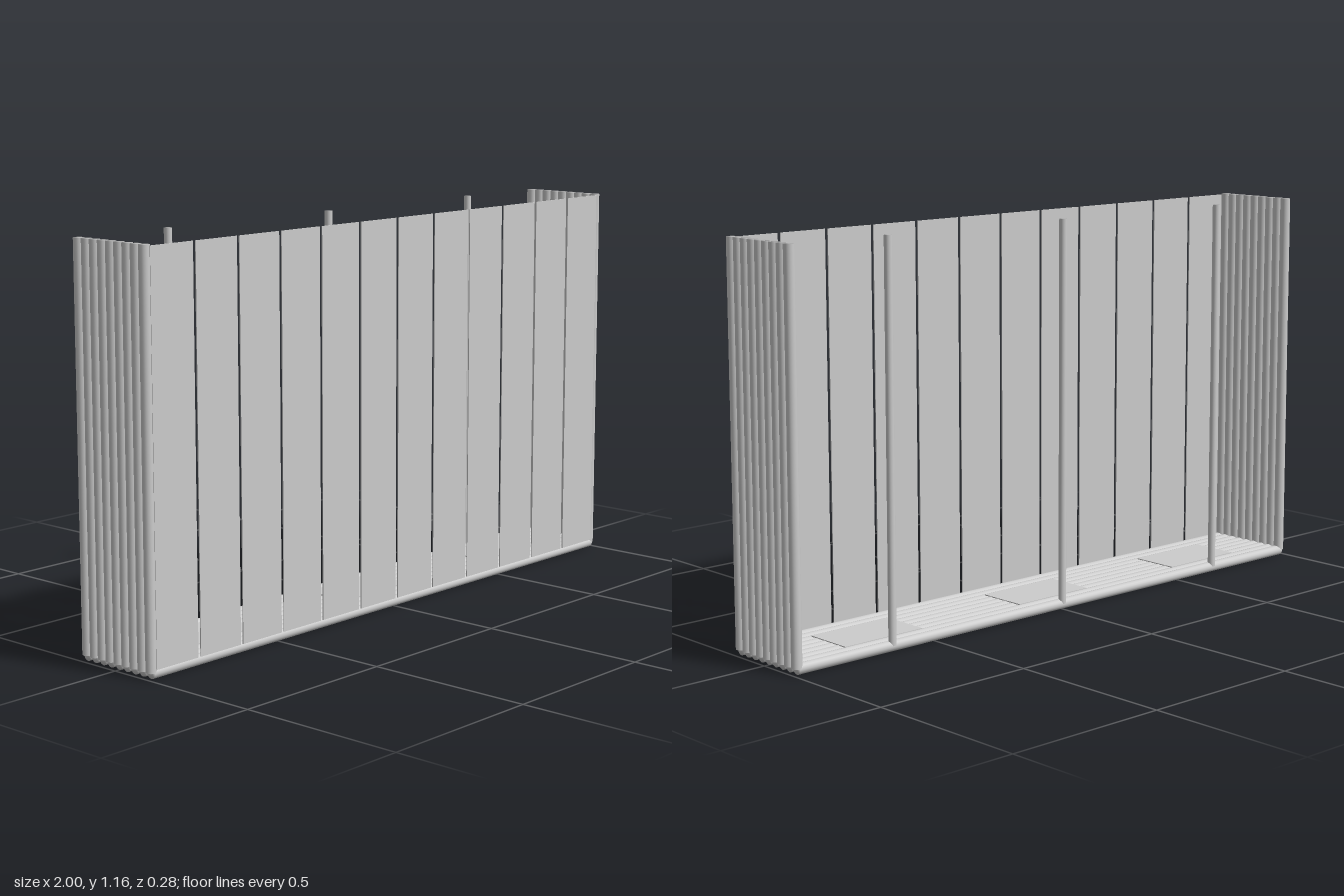
import * as THREE from 'three';
import { mergeVertices } from 'three/addons/utils/BufferGeometryUtils.js';

const LOGS = 9, R = 0.0155, PITCH = 0.0315;
const TOP = 1.163, SIDE_X = 0.9845;

// Round bar with normals blended over its end caps
function barGeometry(radius, length) {
  let g = new THREE.CylinderGeometry(radius, radius, length, 16);
  g.deleteAttribute('uv');
  g.deleteAttribute('normal');
  g = mergeVertices(g);
  g.computeVertexNormals();
  return g;
}

export function createModel() {
  const model = new THREE.Group();
  const grey = new THREE.MeshStandardMaterial({ color: 0xcccccc });
  grey.name = 'light grey';

  const add = (name, geometry, x, y, z) => {
    const mesh = new THREE.Mesh(geometry, grey);
    mesh.name = name;
    mesh.position.set(x, y, z);
    model.add(mesh);
    return mesh;
  };

  // Floor bars and the two side walls of upright bars
  const base = 0.018;
  const floorBar = barGeometry(R, SIDE_X * 2).rotateZ(Math.PI / 2);
  const wallBar = barGeometry(R, TOP - base);
  for (let i = 0; i < LOGS; i++) {
    const z = (i - (LOGS - 1) / 2) * PITCH;
    add('floorBar', floorBar, 0, R, z);
    for (const side of [-1, 1]) {
      add('wallBar', wallBar, side * SIDE_X, (TOP + base) / 2, z);
    }
  }

  // Front wall of twelve thin boards with narrow gaps
  const boards = 12, step = 0.1636, boardBottom = 0.026;
  const board = new THREE.BoxGeometry(0.154, 1.16 - boardBottom, 0.003);
  for (let i = 0; i < boards; i++) {
    add('frontBoard', board, (i - (boards - 1) / 2) * step, (1.16 + boardBottom) / 2, 0.139);
  }

  // Rear posts and floor plates
  const post = barGeometry(0.0115, TOP - base);
  const plate = new THREE.BoxGeometry(0.277, 0.003, 0.153);
  for (const side of [-1, 0, 1]) {
    add('rearPost', post, side * 0.655, (TOP + base) / 2, -0.131);
    add('floorPlate', plate, side * 0.653, 0.031, -0.017);
  }

  return model;
}
